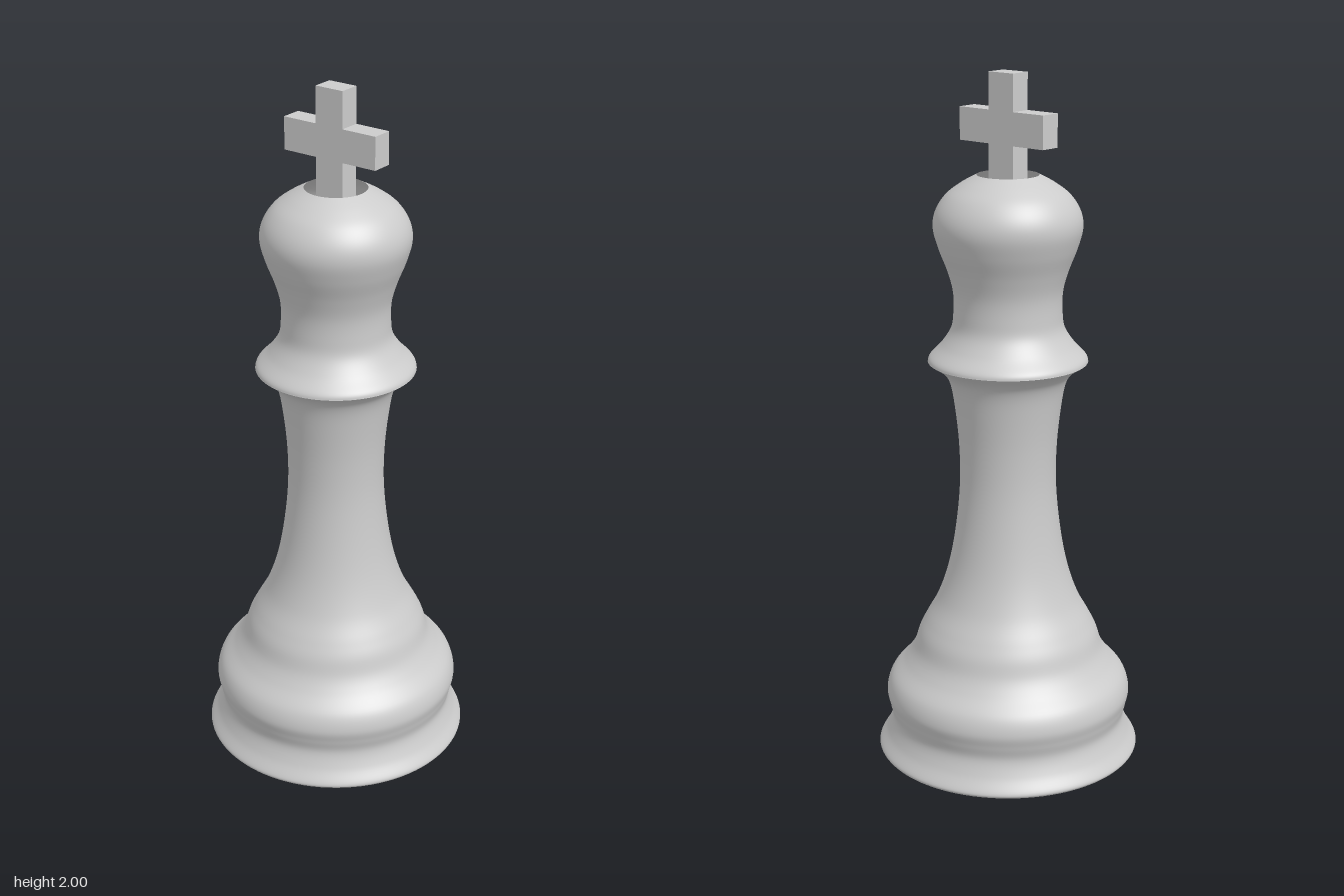
import * as THREE from 'three';

const material = new THREE.MeshStandardMaterial({ color: 0xcccccc, side: THREE.DoubleSide });

// Smooth turned section through [radius, height] points
function turned(name, points, steps) {
  const curve = new THREE.SplineCurve(points.map(([r, y]) => new THREE.Vector2(r, y)));
  const profile = curve.getPoints(steps);
  profile.forEach((p) => { p.x = Math.max(p.x, 0); });
  const mesh = new THREE.Mesh(new THREE.LatheGeometry(profile, 96), material);
  mesh.name = name;
  return mesh;
}

export function createModel() {
  const group = new THREE.Group();
  group.name = 'chessKing';

  // Shallow domed underside, meeting the foot at a sharp rim
  group.add(turned('underside', [[0, 0], [0.13, 0.006], [0.26, 0.025], [0.34, 0.047], [0.372, 0.06]], 20));

  // Stepped foot and waisted stem up to the collar edge
  group.add(turned('footAndStem', [
    [0.372, 0.06], [0.375, 0.072], [0.352, 0.11], [0.337, 0.155], [0.344, 0.195],
    [0.351, 0.235], [0.337, 0.28], [0.298, 0.325], [0.272, 0.365], [0.255, 0.415],
    [0.235, 0.455], [0.2, 0.52], [0.17, 0.61], [0.149, 0.72], [0.136, 0.85],
    [0.137, 0.97], [0.148, 1.08], [0.161, 1.15], [0.182, 1.185], [0.222, 1.213],
  ], 120));

  // Collar top, neck and flared head, left open under the cross
  group.add(turned('collarAndHead', [
    [0.222, 1.213], [0.216, 1.228], [0.184, 1.262], [0.157, 1.305], [0.15, 1.35], [0.151, 1.41],
    [0.167, 1.47], [0.19, 1.53], [0.204, 1.585], [0.197, 1.63], [0.17, 1.672],
    [0.13, 1.703], [0.085, 1.728],
  ], 80));

  // Finial cross, one plate with arms along z
  const half = [[0.043, 1.69], [0.043, 1.81], [0.147, 1.81], [0.147, 1.9], [0.043, 1.9], [0.043, 2]];
  const mirrored = half.map(([z, y]) => [-z, y]).reverse();
  const outline = new THREE.Shape([...half, ...mirrored].map(([z, y]) => new THREE.Vector2(z, y)));
  const plate = new THREE.ExtrudeGeometry(outline, { depth: 0.06, bevelEnabled: false });
  plate.translate(0, 0, -0.03).rotateY(Math.PI / 2);
  const cross = new THREE.Mesh(plate, material);
  cross.name = 'cross';
  group.add(cross);

  return group;
}
